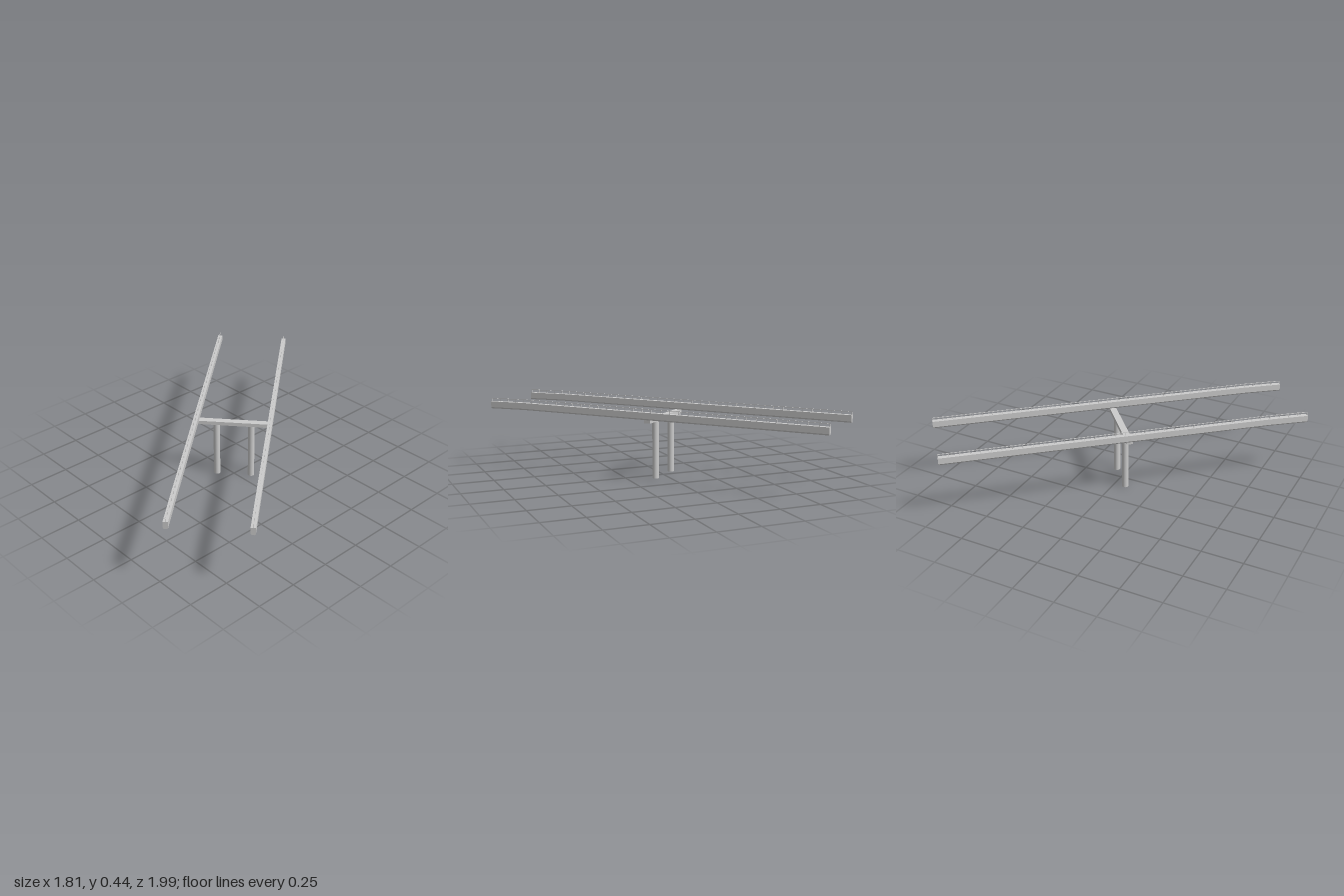
import * as THREE from 'three';

const HALF = 1.11;      // half length of a beam
const DIP_START = 0.86; // beams slope down slightly from here to the +z end
const dip = (z) => -0.006 * Math.max(0, (z - DIP_START) / (HALF - DIP_START));

export function createModel() {
  const model = new THREE.Group();
  model.name = 'twinBeamGuideway';
  const mat = new THREE.MeshStandardMaterial({ color: 0xcccccc });

  const add = (parent, geometry, name, x, y, z) => {
    const mesh = new THREE.Mesh(geometry, mat);
    mesh.name = name;
    mesh.position.set(x, y, z);
    parent.add(mesh);
    return mesh;
  };

  // Beam cross-section with bevelled lower edges
  const section = new THREE.Shape([
    [-0.009, 0.375], [0.009, 0.375], [0.014, 0.383],
    [0.014, 0.42], [-0.014, 0.42], [-0.014, 0.383],
  ].map(([x, y]) => new THREE.Vector2(x, y)));
  const beamGeometry = new THREE.ExtrudeGeometry(section, { depth: 2 * HALF, steps: 9, bevelEnabled: false });
  beamGeometry.translate(0, 0, -HALF);

  // Thin rail along the beam top
  const railGeometry = new THREE.BoxGeometry(0.003, 0.003, 2 * HALF, 1, 1, 9);

  // Make both follow the sloping end
  for (const geometry of [beamGeometry, railGeometry]) {
    const p = geometry.attributes.position;
    for (let i = 0; i < p.count; i++) p.setY(i, p.getY(i) + dip(p.getZ(i)));
    geometry.computeVertexNormals();
  }

  const postGeometry = new THREE.BoxGeometry(0.003, 0.02, 0.003);
  const POSTS = 38;

  for (const side of [-1, 1]) {
    const track = new THREE.Group();
    track.name = side > 0 ? 'leftTrack' : 'rightTrack';
    track.position.x = side * 0.2235;
    model.add(track);
    add(track, beamGeometry, 'beam', 0, 0, 0);
    add(track, railGeometry, 'topRail', 0, 0.4385, 0);
    for (let i = 0; i < POSTS; i++) {
      const z = (HALF - 0.002) * (2 * i / (POSTS - 1) - 1);
      add(track, postGeometry, 'railPost', 0, 0.429 + dip(z), z);
    }
    // Round supporting column
    add(model, new THREE.CylinderGeometry(0.02, 0.02, 0.355, 24), 'column', side * 0.106, 0.1775, 0);
  }

  // Crossbeam joining the columns under both beams
  add(model, new THREE.BoxGeometry(0.436, 0.023, 0.04), 'crossbeam', 0, 0.3645, 0);

  // The whole structure stands diagonally
  model.rotation.y = 0.71;
  const group = new THREE.Group();
  group.name = 'guideway';
  group.add(model);
  return group;
}
